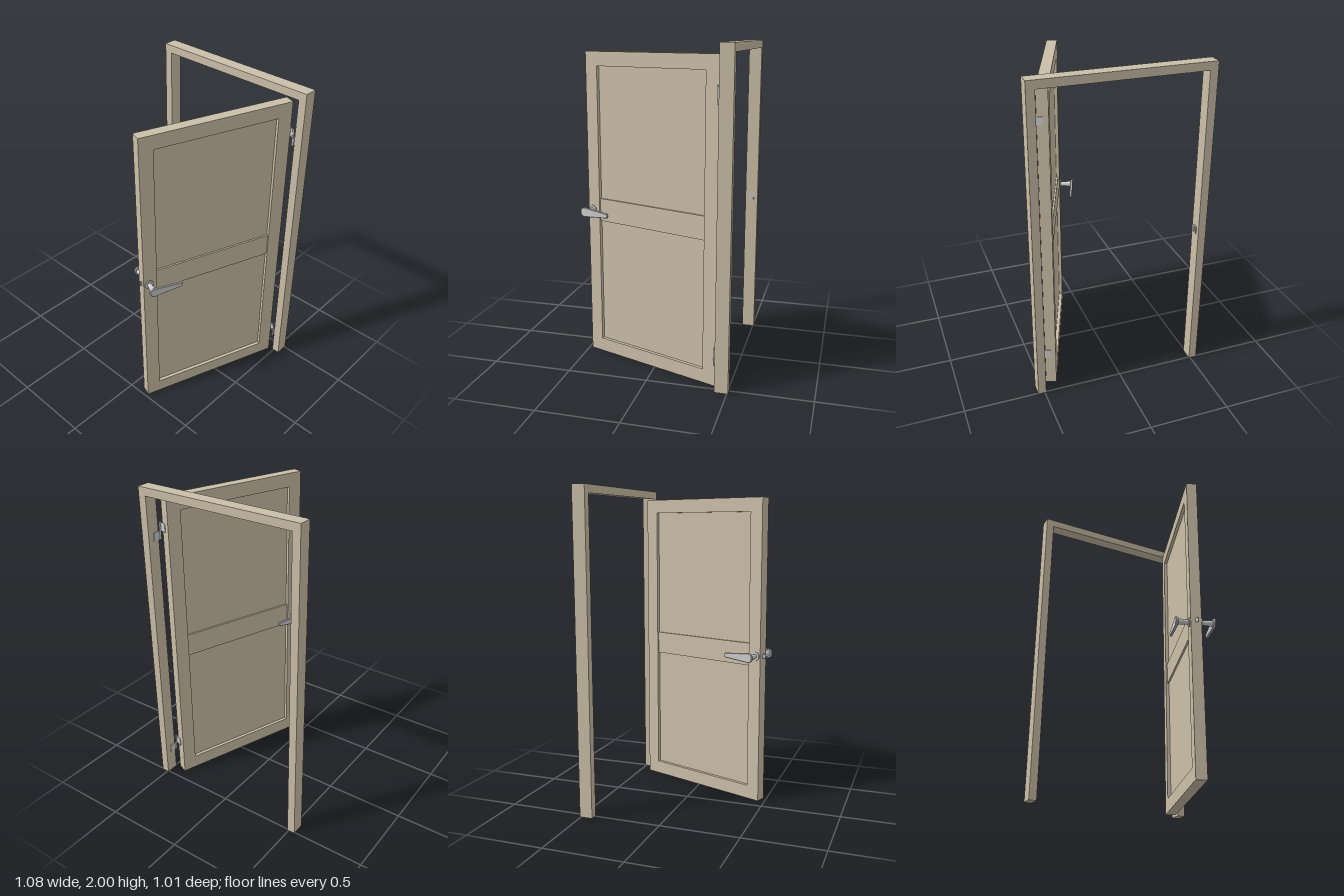
import * as THREE from 'three';

const wood = new THREE.MeshStandardMaterial({ color: 0xcbbfa8 });
const metal = new THREE.MeshStandardMaterial({ color: 0xcccccc });

function add(parent, name, geometry, material, x = 0, y = 0, z = 0) {
  const mesh = new THREE.Mesh(geometry, material);
  mesh.name = name;
  mesh.position.set(x, y, z);
  parent.add(mesh);
  return mesh;
}

const box = (w, h, d) => new THREE.BoxGeometry(w, h, d);

function rectangle(Type, x0, y0, x1, y1) {
  const p = new Type();
  p.moveTo(x0, y0);
  p.lineTo(x1, y0);
  p.lineTo(x1, y1);
  p.lineTo(x0, y1);
  p.closePath();
  return p;
}

// Extrudes a (z, y) outline along x, centred on x = 0
function sideExtrude(shape, depth, bevel = 0) {
  const g = new THREE.ExtrudeGeometry(shape, {
    depth: depth - 2 * bevel, bevelEnabled: bevel > 0, bevelSize: bevel,
    bevelThickness: bevel, bevelOffset: -bevel, bevelSegments: 1, curveSegments: 12,
  });
  g.translate(0, 0, -(depth - 2 * bevel) / 2);
  return g.rotateY(-Math.PI / 2);
}

// Door frame: two jambs and a head in one piece
function buildFrame() {
  const frame = new THREE.Group();
  frame.name = 'doorFrame';
  const s = new THREE.Shape();
  [[-0.541, 0], [-0.491, 0], [-0.491, 1.95], [0.491, 1.95], [0.491, 0], [0.541, 0], [0.541, 2], [-0.541, 2]]
    .forEach(([x, y], i) => (i ? s.lineTo(x, y) : s.moveTo(x, y)));
  s.closePath();
  add(frame, 'jambsAndHead', new THREE.ExtrudeGeometry(s, { depth: 0.082, bevelEnabled: false }), wood, 0, 0, -0.507);

  // Strike plate with its latch opening
  const plate = rectangle(THREE.Shape, -0.016, -0.025, 0.016, 0.025);
  plate.holes.push(rectangle(THREE.Path, -0.007, -0.015, 0.007, 0.015));
  add(frame, 'strikePlate', sideExtrude(plate, 0.005), metal, -0.489, 0.952, -0.466);
  return frame;
}

// Lever handle on one face of the door (side = +1 or -1)
function buildHandle(side) {
  const handle = new THREE.Group();
  handle.name = side > 0 ? 'outerHandle' : 'innerHandle';
  const rosette = add(handle, 'rosette', new THREE.CylinderGeometry(0.028, 0.028, 0.008, 24), metal, side * 0.036);
  rosette.rotation.z = -side * Math.PI / 2;
  const neck = add(handle, 'neck', new THREE.CylinderGeometry(0.02, 0.013, 0.074, 20), metal, side * 0.071);
  neck.rotation.z = -side * Math.PI / 2;

  // Tapered lever with a round end over the neck
  const s = new THREE.Shape();
  s.moveTo(-0.18, -0.014);
  s.lineTo(0, -0.03);
  s.absarc(0, 0, 0.03, -Math.PI / 2, Math.PI / 2, false);
  s.lineTo(-0.18, 0.014);
  s.quadraticCurveTo(-0.19, 0, -0.18, -0.014);
  add(handle, 'lever', sideExtrude(s, 0.016, 0.003), metal, side * 0.113);
  return handle;
}

// Door leaf: local z runs from the hinge edge to the free edge
function buildDoor() {
  const door = new THREE.Group();
  door.name = 'door';
  const L = 0.951, H = 1.938, edge = 0.087;
  const outline = rectangle(THREE.Shape, 0, 0, L, H);
  outline.holes.push(rectangle(THREE.Path, edge, edge, L - edge, H - edge));
  add(door, 'stilesAndRails', sideExtrude(outline, 0.066), wood);
  add(door, 'recessedPanel', box(0.024, H - 2 * edge, L - 2 * edge), wood, 0, H / 2, L / 2);
  add(door, 'middleRail', box(0.046, 0.144, L - 2 * edge), wood, 0, 0.957, L / 2);

  // Slanted latch bolt in the free edge
  const bolt = new THREE.Shape();
  bolt.moveTo(-0.004, -0.01);
  bolt.lineTo(0.01, -0.01);
  bolt.lineTo(0.01, 0.014);
  bolt.lineTo(-0.004, 0);
  bolt.closePath();
  const boltGeometry = new THREE.ExtrudeGeometry(bolt, { depth: 0.026, bevelEnabled: false });
  boltGeometry.translate(0, 0, -0.013).rotateX(Math.PI / 2);
  add(door, 'latchBolt', boltGeometry, metal, 0, 0.952, L);

  for (const side of [1, -1]) {
    const handle = buildHandle(side);
    handle.position.set(0, 0.952, 0.917);
    door.add(handle);
  }

  // Upper hinge leaves sit on the hinge edge of the door
  for (const y of [1.72, 0.197]) {
    add(door, 'doorHingeLeaf', box(0.054, 0.052, 0.004), metal, 0.027, y + 0.027, -0.002);
  }
  door.position.set(0.434, 0, -0.4245);
  door.rotation.y = -THREE.MathUtils.degToRad(20);
  return door;
}

export function createModel() {
  const model = new THREE.Group();
  model.name = 'openDoor';
  model.add(buildFrame(), buildDoor());

  // Hinge knuckles and the lower leaves on the jamb
  for (const y of [1.72, 0.197]) {
    for (const half of [1, -1]) {
      add(model, 'hingeKnuckle', new THREE.CylinderGeometry(0.006, 0.006, 0.052, 12), metal, 0.486, y + half * 0.0265, -0.413);
    }
    add(model, 'frameHingeLeaf', box(0.004, 0.052, 0.054), metal, 0.489, y - 0.0265, -0.44);
  }
  return model;
}
